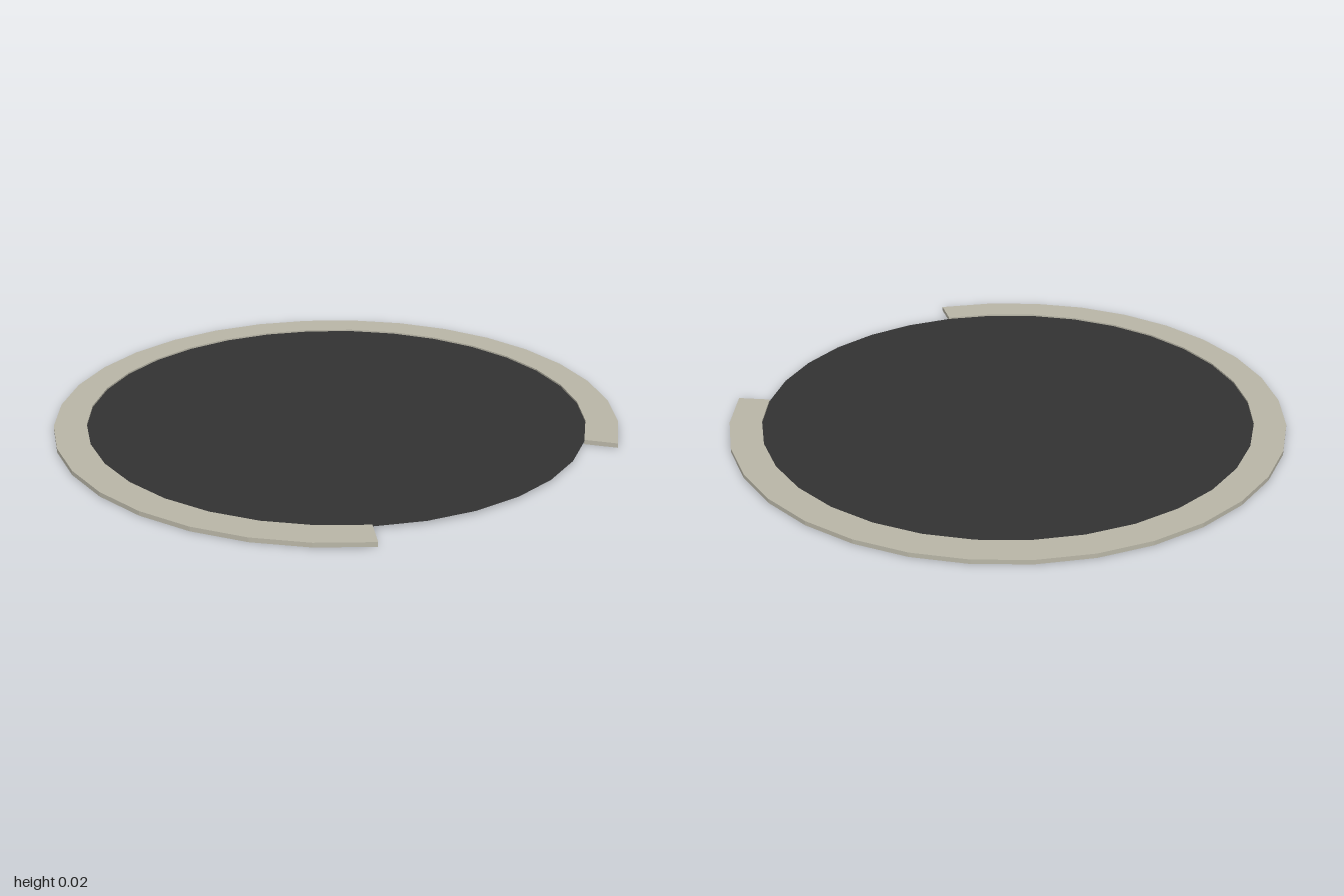
import * as THREE from 'three';

const SIDES = 32;      // facets of a full circle
const OUTER = 1;       // rim outer radius
const INNER = 0.885;   // rim inner radius, also the disc radius
const HEIGHT = 0.016;  // rim thickness
const HALF_SPAN = 13;  // rim facets on each side of the back; the front stays open

// Point on a circle, counted in facets from the back
function ringPoint(radius, step) {
  const a = (step / SIDES) * Math.PI * 2;
  return new THREE.Vector2(Math.sin(a) * radius, Math.cos(a) * radius);
}

export function createModel() {
  const model = new THREE.Group();
  model.name = 'discWithOpenRim';

  // Open rim: flat faceted band with a gap at the front
  const outline = [];
  for (let i = -HALF_SPAN; i <= HALF_SPAN; i++) outline.push(ringPoint(OUTER, i));
  for (let i = HALF_SPAN; i >= -HALF_SPAN; i--) outline.push(ringPoint(INNER, i));
  const rimGeometry = new THREE.ExtrudeGeometry(new THREE.Shape(outline), {
    depth: HEIGHT,
    bevelEnabled: false,
  });
  rimGeometry.rotateX(-Math.PI / 2);
  const rim = new THREE.Mesh(
    rimGeometry,
    new THREE.MeshStandardMaterial({ color: 0xbab7a8, flatShading: true })
  );
  rim.name = 'openRim';
  model.add(rim);

  // Thin dark disc filling the rim, set just below its top
  const discGeometry = new THREE.CircleGeometry(INNER, SIDES);
  discGeometry.rotateX(-Math.PI / 2);
  const disc = new THREE.Mesh(
    discGeometry,
    new THREE.MeshStandardMaterial({ color: 0x333333, side: THREE.DoubleSide })
  );
  disc.name = 'disc';
  disc.position.y = 0.01;
  model.add(disc);

  // Centre the overall depth on z = 0
  model.children.forEach((part) => { part.position.z = (OUTER - INNER) / 2; });
  return model;
}
